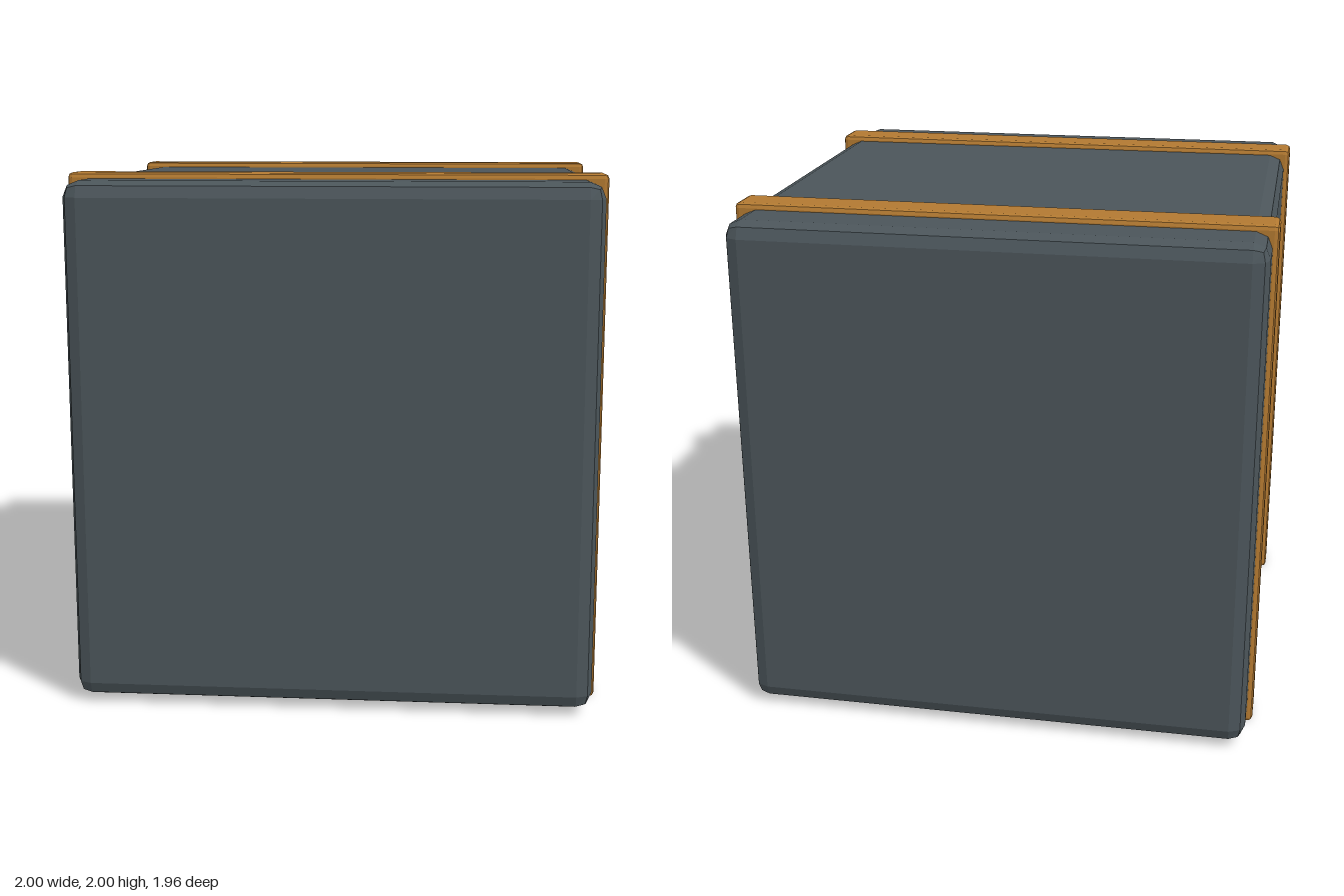
import * as THREE from 'three';
import { RoundedBoxGeometry } from 'three/addons/geometries/RoundedBoxGeometry.js';

// Box with two flat facets along every edge
function bevelledBox(name, size, radius, color) {
  const mesh = new THREE.Mesh(
    new RoundedBoxGeometry(...size, 1, radius),
    new THREE.MeshStandardMaterial({ color, flatShading: true })
  );
  mesh.name = name;
  mesh.position.y = 1;
  return mesh;
}

export function createModel() {
  const model = new THREE.Group();
  model.name = 'strappedCrate';

  // Dark cube body, slightly smaller than the straps around it
  model.add(bevelledBox('body', [1.955, 1.955, 1.955], 0.06, 0x4b555a));

  // Two bands wrapped round the top, sides and bottom
  for (const [name, side] of [['frontStrap', 1], ['backStrap', -1]]) {
    const strap = bevelledBox(name, [2, 2, 0.155], 0.018, 0xb27931);
    strap.position.z = side * 0.687;
    model.add(strap);
  }
  return model;
}
